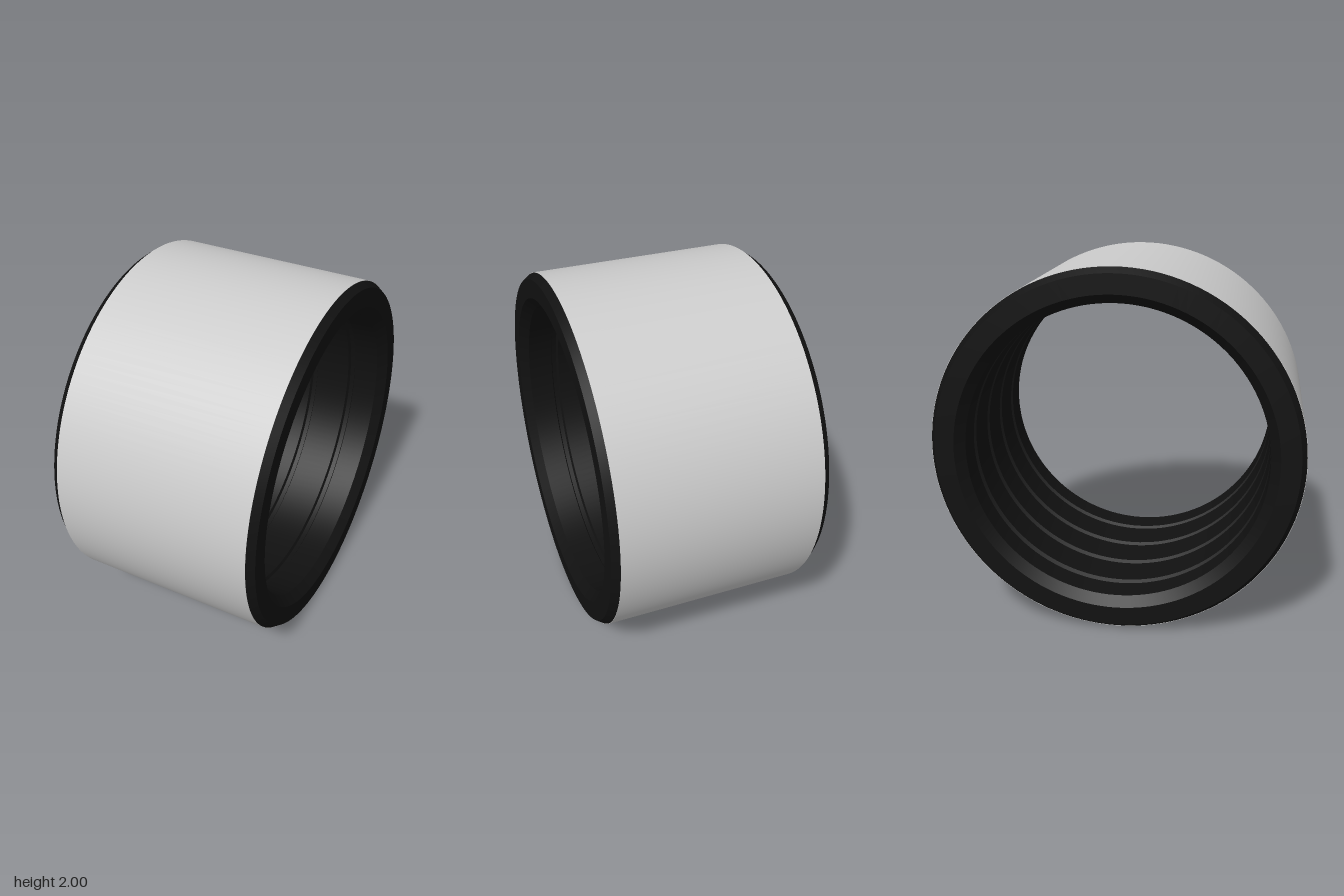
import * as THREE from 'three';
import { toCreasedNormals } from 'three/addons/utils/BufferGeometryUtils.js';

// Closed ring turned about the x axis from [x, radius] pairs
function turned(name, profile, color) {
  const points = profile.map(([x, r]) => new THREE.Vector2(r, x));
  points.push(points[0].clone());
  const geometry = toCreasedNormals(new THREE.LatheGeometry(points, 128), 0.35);
  geometry.rotateZ(-Math.PI / 2);
  const mesh = new THREE.Mesh(geometry, new THREE.MeshStandardMaterial({ color }));
  mesh.name = name;
  mesh.position.y = 1;
  return mesh;
}

export function createModel() {
  const group = new THREE.Group();
  group.name = 'bushing';

  // Smooth outer sleeve
  group.add(turned('outerSleeve', [
    [-0.55, 0.96], [-0.55, 1], [0.55, 1], [0.55, 0.96],
  ], 0xcccccc));

  // Dark liner: chamfered end lips around the sleeve and a grooved bore
  const bore = 0.815, depth = 0.02, half = 0.022;
  const profile = [
    [-0.59, 0.97], [-0.55, 0.998], [-0.55, 0.96],
    [0.55, 0.96], [0.55, 0.998], [0.59, 0.97],
    [0.59, 0.865], [0.54, bore],
  ];
  for (const x of [0.375, 0.125, -0.125, -0.375]) {
    profile.push([x + half, bore], [x + half * 0.6, bore + depth],
      [x - half * 0.6, bore + depth], [x - half, bore]);
  }
  profile.push([-0.54, bore], [-0.59, 0.865]);
  group.add(turned('innerLiner', profile, 0x111111));

  return group;
}
